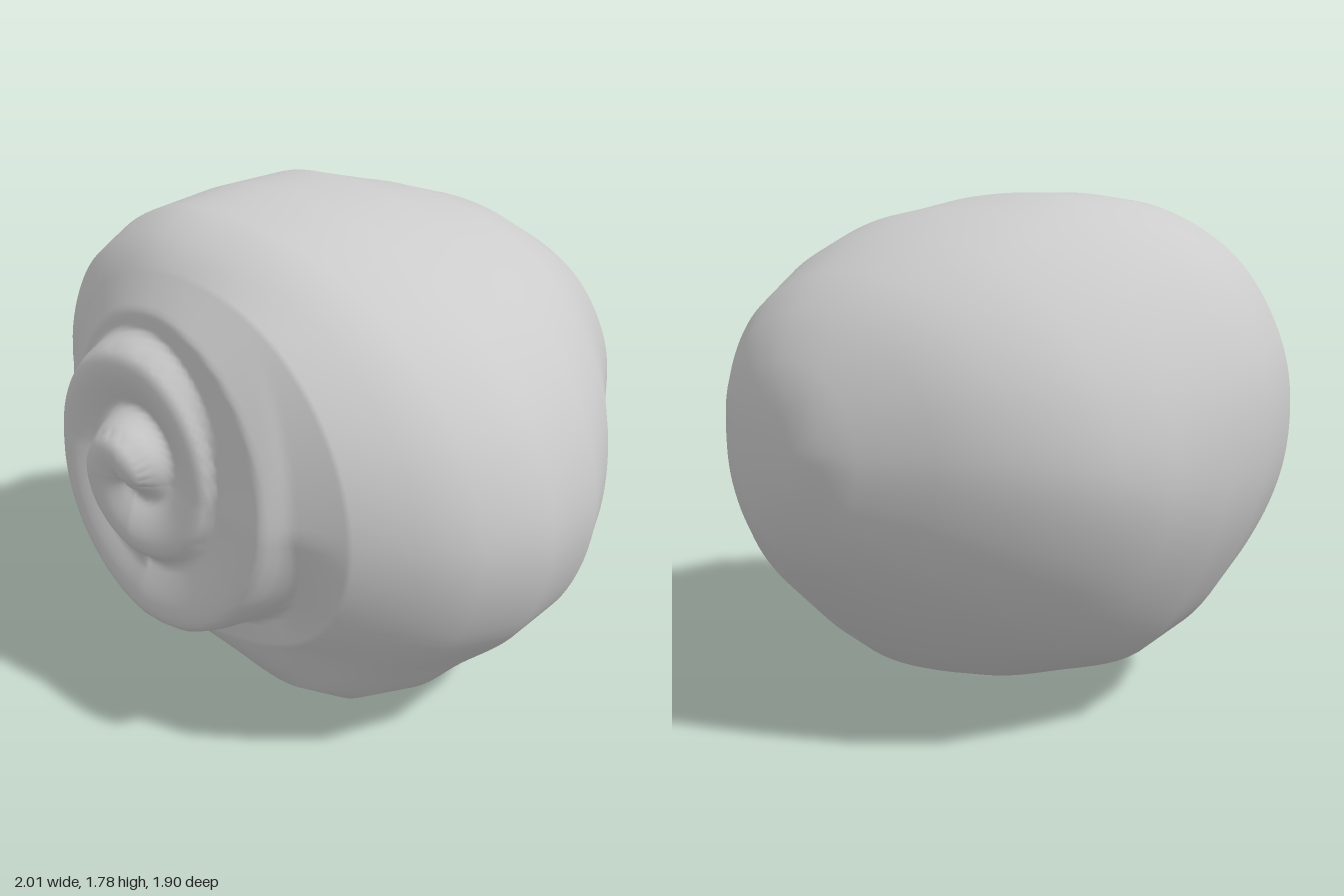
import * as THREE from 'three';

const N = 120;          // points around each ring
const FACE_RINGS = 44;  // rings across the coiled face
const CENTRE = [-0.15, 0.98];

// Lumpy outlines of the body, as radii at equal angles from +x
const outlineCurve = radii => new THREE.CatmullRomCurve3(radii.map((r, i) => {
  const a = i / radii.length * Math.PI * 2;
  return new THREE.Vector3(r * Math.cos(a), r * Math.sin(a), 0);
}), true, 'catmullrom', 0.5);
const frontOutline = outlineCurve([1, 0.99, 0.975, 0.96, 0.99, 1.06, 1.085, 1.05, 1, 0.97, 0.98, 0.93, 0.975, 1.04, 0.95, 0.98]);
const backOutline = outlineCurve([1, 1.03, 1.05, 1.03, 1, 0.99, 0.98, 0.99, 1, 0.97, 0.95, 0.93, 0.965, 1.05, 1.07, 1.03]);

// Body sections from back to front: z, xMin, xMax, yMin, yMax
const sections = [
  [-0.95, -0.13, 0.12, 0.88, 1.13],
  [-0.91, -0.22, 0.30, 0.68, 1.28],
  [-0.82, -0.44, 0.46, 0.56, 1.42],
  [-0.70, -0.67, 0.59, 0.41, 1.53],
  [-0.50, -0.88, 0.71, 0.22, 1.65],
  [-0.30, -0.94, 0.86, 0.08, 1.72],
  [-0.07, -1.00, 0.97, -0.01, 1.77],
  [0.20, -1.00, 1.00, 0.01, 1.77],
  [0.45, -0.96, 0.93, 0.09, 1.75],
  [0.59, -0.89, 0.80, 0.18, 1.69],
];

// Height of the coil against turns wound, counted from the bottom
const coil = [[-1.4, 0.79], [-1.25, 0.83], [-1.13, 0.68], [-1, 0.68], [-0.75, 0.72], [-0.5, 0.75], [-0.25, 0.85],
  [0, 0.87], [0.25, 0.82], [0.5, 0.81], [0.75, 0.83], [1, 0.89], [1.25, 0.91], [1.5, 0.91], [1.75, 0.89], [4, 0.9]];

function coilBase(a) {
  if (a <= coil[0][0]) return coil[0][1];
  for (let i = 1; i < coil.length; i++) {
    const [a0, h0] = coil[i - 1], [a1, h1] = coil[i];
    if (a <= a1) return h0 + (h1 - h0) * (a - a0) / (a1 - a0);
  }
  return coil[coil.length - 1][1];
}

// Front face: a winding ridge that steps up at each inner turn
function faceHeight(dx, dy) {
  const r = Math.hypot(dx, dy);
  const t = (Math.atan2(-dx, -dy) / (2 * Math.PI) + 1) % 1;
  const s = (0.53 - 0.26 * t - r) / 0.26;
  let k = Math.floor(s), f = s - k;
  if (k < -1 && t < 0.6) { k = -1; f = 0; }
  const a = k + t;
  const bulge = THREE.MathUtils.smoothstep(a, -0.4, 0);
  const h = coilBase(a) + bulge * (0.045 * Math.sin(Math.PI * Math.pow(f, 0.6)) - 0.025 * f);
  return THREE.MathUtils.lerp(h, coilBase(a + 1), THREE.MathUtils.smoothstep(f, k < 0 ? 0.84 : 0.7, 1));
}

function shellGeometry() {
  const rings = [];
  const ring = fn => rings.push(Array.from({ length: N }, (_, j) => fn(j / N)));
  for (const [z, x0, x1, y0, y1] of sections) {
    const blend = THREE.MathUtils.smoothstep(z, -0.5, 0);
    ring(u => {
      const p = backOutline.getPoint(u).lerp(frontOutline.getPoint(u), blend);
      return [(x0 + x1) / 2 + p.x * (x1 - x0) / 2, (y0 + y1) / 2 + p.y * (y1 - y0) / 2, z];
    });
  }
  // the face reaches further out where the last turn joins the body, and at the lower corner
  for (let i = 0; i < FACE_RINGS; i++) {
    ring(u => {
      const angle = u * Math.PI * 2, c = Math.cos(angle);
      const side = Math.max(0, c) ** 2, corner = Math.max(0, Math.cos(angle - 4.1)) ** 2;
      const rim = 0.63 + 0.18 * side + 0.09 * corner, r = rim * (1 - i / FACE_RINGS);
      const dx = r * c, dy = r * Math.sin(angle), slope = 0.12 + 0.12 * side;
      const shoulder = THREE.MathUtils.clamp((r - rim + slope) / slope, 0, 1);
      const z = THREE.MathUtils.lerp(faceHeight(dx, dy), 0.66 + 0.06 * side, shoulder);
      return [CENTRE[0] + dx, CENTRE[1] + dy, z];
    });
  }

  const pos = rings.flat(2), index = [];
  for (let i = 0; i < rings.length - 1; i++) {
    for (let j = 0; j < N; j++) {
      const a = i * N + j, b = i * N + (j + 1) % N;
      index.push(a, b, a + N, b, b + N, a + N);
    }
  }
  // close the back and the middle of the coil
  const back = pos.length / 3, tip = back + 1, last = (rings.length - 1) * N;
  pos.push(0, 1, -0.955, CENTRE[0], CENTRE[1], 0.92);
  for (let j = 0; j < N; j++) {
    const n = (j + 1) % N;
    index.push(back, n, j, tip, last + j, last + n);
  }
  const g = new THREE.BufferGeometry();
  g.setAttribute('position', new THREE.Float32BufferAttribute(pos, 3));
  g.setIndex(index);
  g.computeVertexNormals();
  return g;
}

export function createModel() {
  const group = new THREE.Group();
  group.name = 'spiralShell';
  const shell = new THREE.Mesh(shellGeometry(), new THREE.MeshStandardMaterial({ color: 0xcccccc }));
  shell.name = 'shell';
  group.add(shell);
  return group;
}
